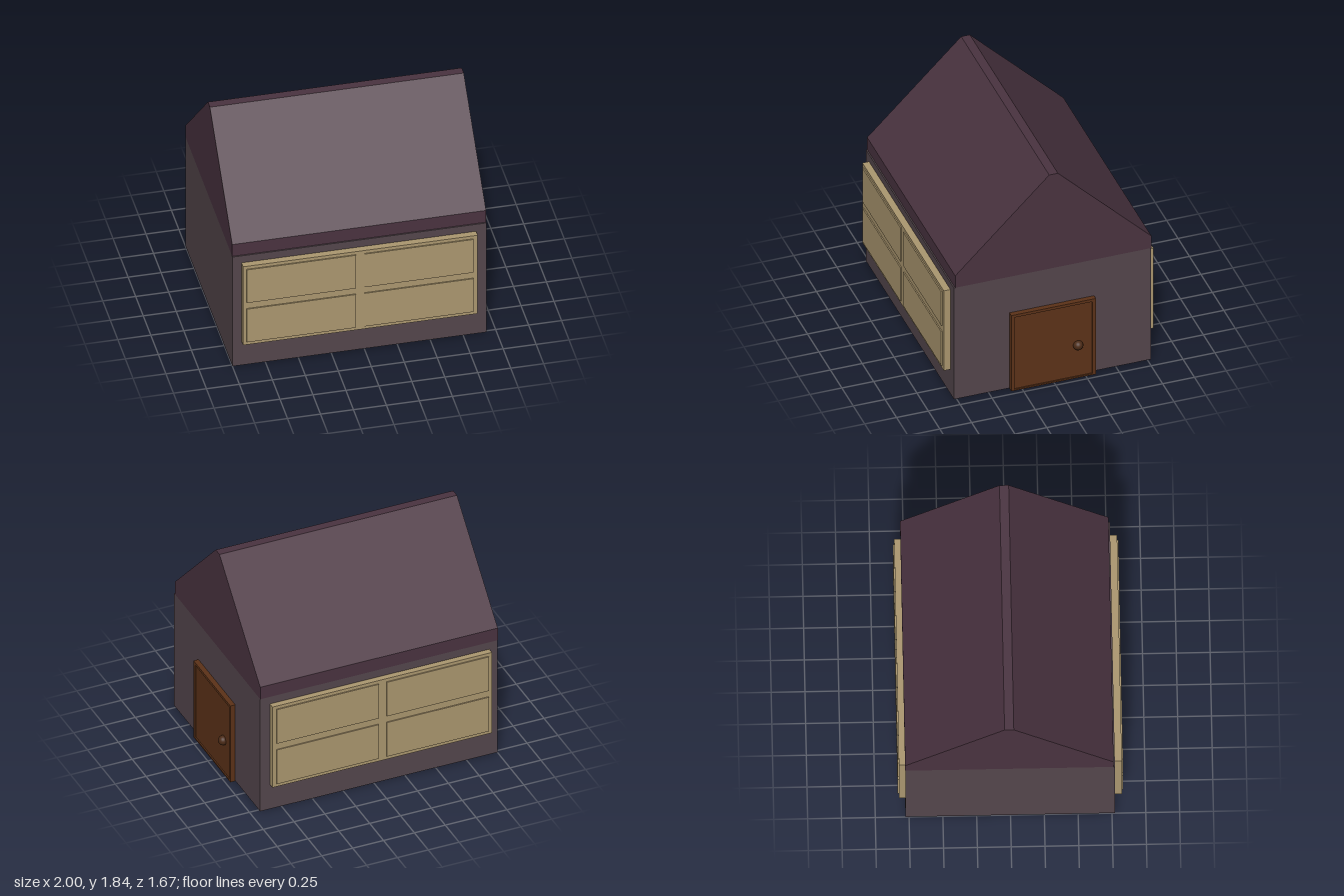
import * as THREE from 'three';

const mat = (color) => new THREE.MeshStandardMaterial({ color });

export function createModel() {
  const house = new THREE.Group();
  house.name = 'house';
  const wallMat = mat(0x54464c), roofMat = mat(0x4a3340);
  const windowMat = mat(0xab976f), doorMat = mat(0x5c3218), knobMat = mat(0x4a2a16);

  const add = (parent, name, geometry, material) => {
    const mesh = new THREE.Mesh(geometry, material);
    mesh.name = name;
    parent.add(mesh);
    return mesh;
  };
  // Box given by its lower and upper bounds on each axis
  const block = (parent, name, material, [x0, x1], [y0, y1], [z0, z1]) => {
    const mesh = add(parent, name, new THREE.BoxGeometry(x1 - x0, y1 - y0, z1 - z0), material);
    mesh.position.set((x0 + x1) / 2, (y0 + y1) / 2, (z0 + z1) / 2);
    return mesh;
  };

  // Walls
  block(house, 'walls', wallMat, [-1, 0.925], [0.004, 1], [-0.777, 0.772]);

  // Gabled roof: profile in (-z, y), extruded along x
  const gable = new THREE.Shape([
    [-0.762, 1], [0.779, 1], [0.779, 1.107], [0.044, 1.84], [-0.024, 1.84], [-0.762, 1.107],
  ].map(([u, y]) => new THREE.Vector2(u, y)));
  const roofGeometry = new THREE.ExtrudeGeometry(gable, { depth: 1.925, bevelEnabled: false });
  roofGeometry.rotateY(Math.PI / 2).translate(-1, 0, 0);
  add(house, 'roof', roofGeometry, roofMat);

  // Wide four-pane windows on both long walls
  for (const [side, name] of [[1, 'frontWindow'], [-1, 'backWindow']]) {
    const group = new THREE.Group();
    group.name = name;
    const depth = (a, b) => (side > 0 ? [a, b] : [-b, -a]);
    block(group, 'windowFrame', windowMat, [-0.932, 0.847], [0.222, 0.937], depth(0.76, 0.824));
    for (const xs of [[-0.905, -0.077], [-0.012, 0.815]]) {
      for (const ys of [[0.25, 0.552], [0.608, 0.91]]) {
        block(group, 'windowPane', windowMat, xs, ys, depth(0.8, 0.833));
      }
    }
    house.add(group);
  }

  // Door with a slightly sunken panel and a round knob
  const door = new THREE.Group();
  door.name = 'door';
  const rect = (path, u0, u1, y0, y1) =>
    path.moveTo(u0, y0).lineTo(u1, y0).lineTo(u1, y1).lineTo(u0, y1).closePath();
  const outline = new THREE.Shape();
  rect(outline, -0.336, 0.328, 0, 0.678);
  const opening = new THREE.Path();
  rect(opening, -0.312, 0.302, 0.012, 0.655);
  outline.holes.push(opening);
  const frameGeometry = new THREE.ExtrudeGeometry(outline, { depth: 0.045, bevelEnabled: false });
  frameGeometry.rotateY(Math.PI / 2).translate(0.92, 0, 0);
  add(door, 'doorFrame', frameGeometry, doorMat);
  block(door, 'doorPanel', doorMat, [0.92, 0.955], [0.01, 0.66], [-0.305, 0.315]);
  const knob = add(door, 'doorKnob', new THREE.SphereGeometry(0.038, 24, 16), knobMat);
  knob.position.set(0.962, 0.29, -0.19);
  house.add(door);

  return house;
}
